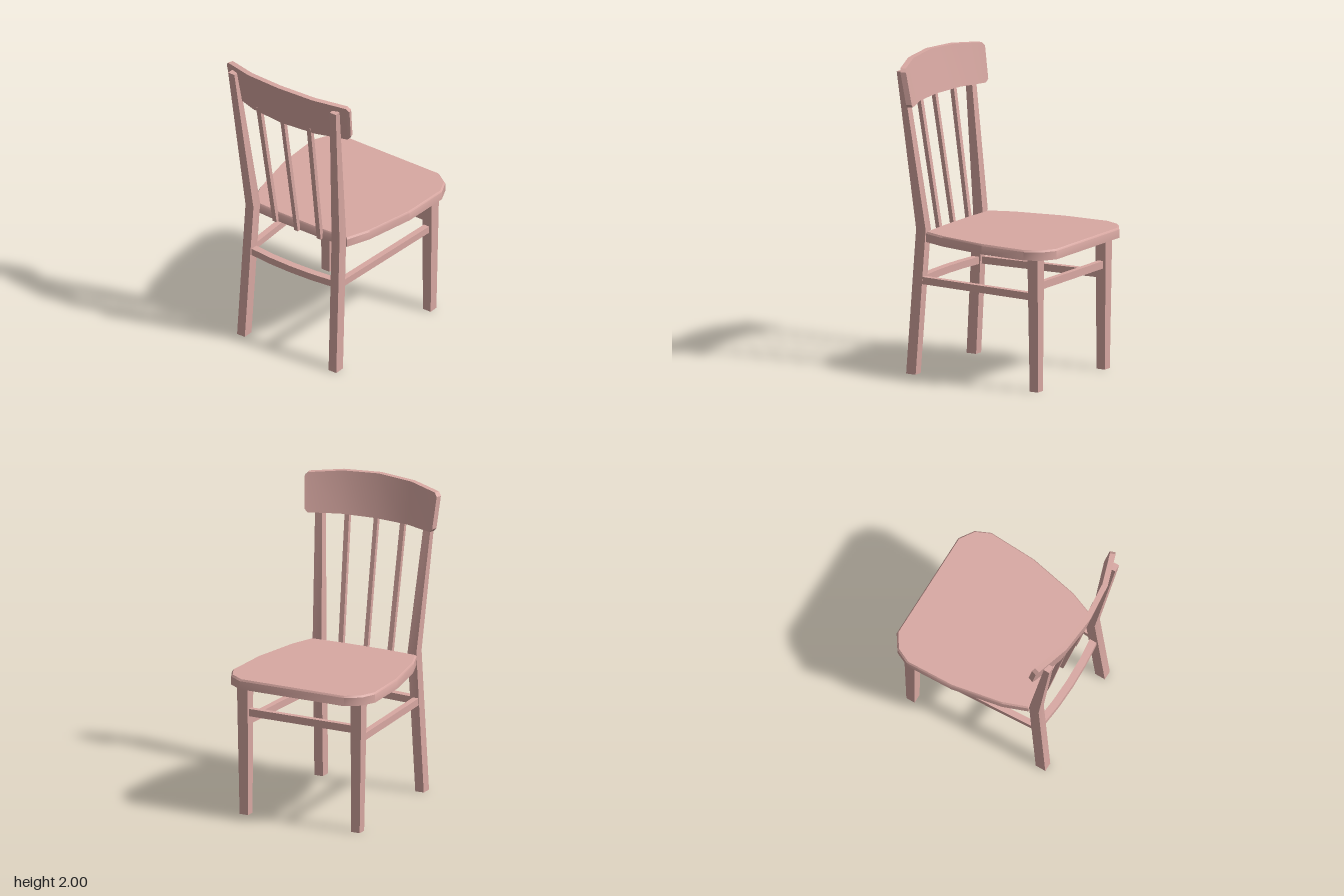
import * as THREE from 'three';
import { toCreasedNormals } from 'three/addons/utils/BufferGeometryUtils.js';

const material = new THREE.MeshStandardMaterial({ color: 0xd8a8a2 });

// Skin a stack of rings (each counter-clockwise about the stacking direction) and cap both ends.
function loft(rings) {
  const pos = [];
  const tri = (a, b, c) => pos.push(...a, ...b, ...c);
  const n = rings[0].length;
  for (let r = 0; r < rings.length - 1; r++) {
    const a = rings[r], b = rings[r + 1];
    for (let i = 0; i < n; i++) {
      const j = (i + 1) % n;
      tri(a[i], a[j], b[j]);
      tri(a[i], b[j], b[i]);
    }
  }
  const first = rings[0], last = rings[rings.length - 1];
  for (let i = 1; i < n - 1; i++) {
    tri(first[0], first[i + 1], first[i]);
    tri(last[0], last[i], last[i + 1]);
  }
  const geometry = new THREE.BufferGeometry();
  geometry.setAttribute('position', new THREE.Float32BufferAttribute(pos, 3));
  return toCreasedNormals(geometry, 0.6);
}

// Reflect rings to the other side in x, keeping faces outward.
const side = (rings, s) =>
  s > 0 ? rings : rings.map((ring) => ring.map(([x, y, z]) => [-x, y, z]).reverse());

// Rectangular rings facing along y, z and x: centre, then half sizes.
const ringY = (x, y, z, w, d) => [[x - w, y, z + d], [x + w, y, z + d], [x + w, y, z - d], [x - w, y, z - d]];
const ringZ = (x, y, z, w, h) => [[x - w, y - h, z], [x + w, y - h, z], [x + w, y + h, z], [x - w, y + h, z]];
const ringX = (x, y, z, h, d) => [[x, y - h, z - d], [x, y + h, z - d], [x, y + h, z + d], [x, y - h, z + d]];

export function createModel() {
  const chair = new THREE.Group();
  chair.name = 'chair';
  const add = (name, rings) => {
    const mesh = new THREE.Mesh(loft(rings), material);
    mesh.name = name;
    chair.add(mesh);
  };

  // Seat: half outline from the backrest edge round to the far edge, with a small top bevel
  const half = [[0.14, 0.38], [0.37, 0.367], [0.43, 0.21], [0.495, -0.12], [0.507, -0.44], [0.463, -0.535], [0.37, -0.597]];
  const outline = [...half, ...half.map(([x, z]) => [-x, z]).reverse()];
  const seatRing = (y, k) => outline.map(([x, z]) => [x * k, y, -0.108 + (z + 0.108) * k]);
  add('seat', [seatRing(0.855, 1), seatRing(0.908, 1), seatRing(0.92, 0.984)]);

  for (const s of [1, -1]) {
    const label = s > 0 ? 'left' : 'right';

    // Bent post: leg below the seat, upright above it
    add(label + 'BackPost', side([
      ringY(0.357, 0, 0.466, 0.03, 0.035),
      ringY(0.336, 0.93, 0.405, 0.031, 0.035),
      ringY(0.396, 1.935, 0.53, 0.024, 0.02),
    ], s));

    // Tapered leg under the far edge of the seat
    add(label + 'FrontLeg', side([
      ringY(0.395, 0, -0.463, 0.03, 0.03),
      ringY(0.402, 0.86, -0.463, 0.038, 0.038),
    ], s));

    // Side stretcher between leg and post
    add(label + 'SideStretcher', side([
      ringZ(0.398, 0.605, -0.44, 0.02, 0.023),
      ringZ(0.35, 0.605, 0.43, 0.02, 0.023),
    ], s));

    // Outer spindle
    add(label + 'Spindle', side([
      ringY(0.172, 0.855, 0.383, 0.016, 0.014),
      ringY(0.197, 1.75, 0.522, 0.016, 0.014),
    ], s));
  }

  add('middleSpindle', [
    ringY(0, 0.855, 0.389, 0.014, 0.014),
    ringY(0, 1.75, 0.538, 0.014, 0.014),
  ]);

  // Straight stretcher between the legs
  add('frontStretcher', [-0.38, 0.38].map((x) => ringX(x, 0.67, -0.463, 0.024, 0.018)));

  // Curved stretcher between the posts
  add('backStretcher', [-0.34, -0.16, 0, 0.16, 0.34].map((x) =>
    ringX(x, 0.605, 0.445 - 0.2 * x * x, 0.023, 0.024)));

  // Curved, tilted backrest: x, bottom y, top y, z of the rear face at the top, turn angle
  const columns = [
    [0, 1.72, 2.0, 0.595, 0], [0.25, 1.72, 1.99, 0.572, 0.18],
    [0.462, 1.718, 1.968, 0.504, 0.33], [0.483, 1.74, 1.945, 0.495, 0.35],
  ];
  const stations = [
    ...columns.slice(1).reverse().map(([x, a, b, z, t]) => [-x, a, b, z, -t]),
    ...columns,
  ];
  const tilt = 0.045 / 0.28, thick = 0.036;
  add('backrest', stations.map(([x, low, high, z, turn]) => {
    const corner = (y, depth) => [
      x * (1 - 0.04 * (2 - y)/0.28) - Math.sin(turn) * depth,
      y,
      z - (2 - y) * tilt - Math.cos(turn) * depth,
    ];
    return [corner(low, thick), corner(high, thick), corner(high, 0), corner(low, 0)];
  }));

  return chair;
}
